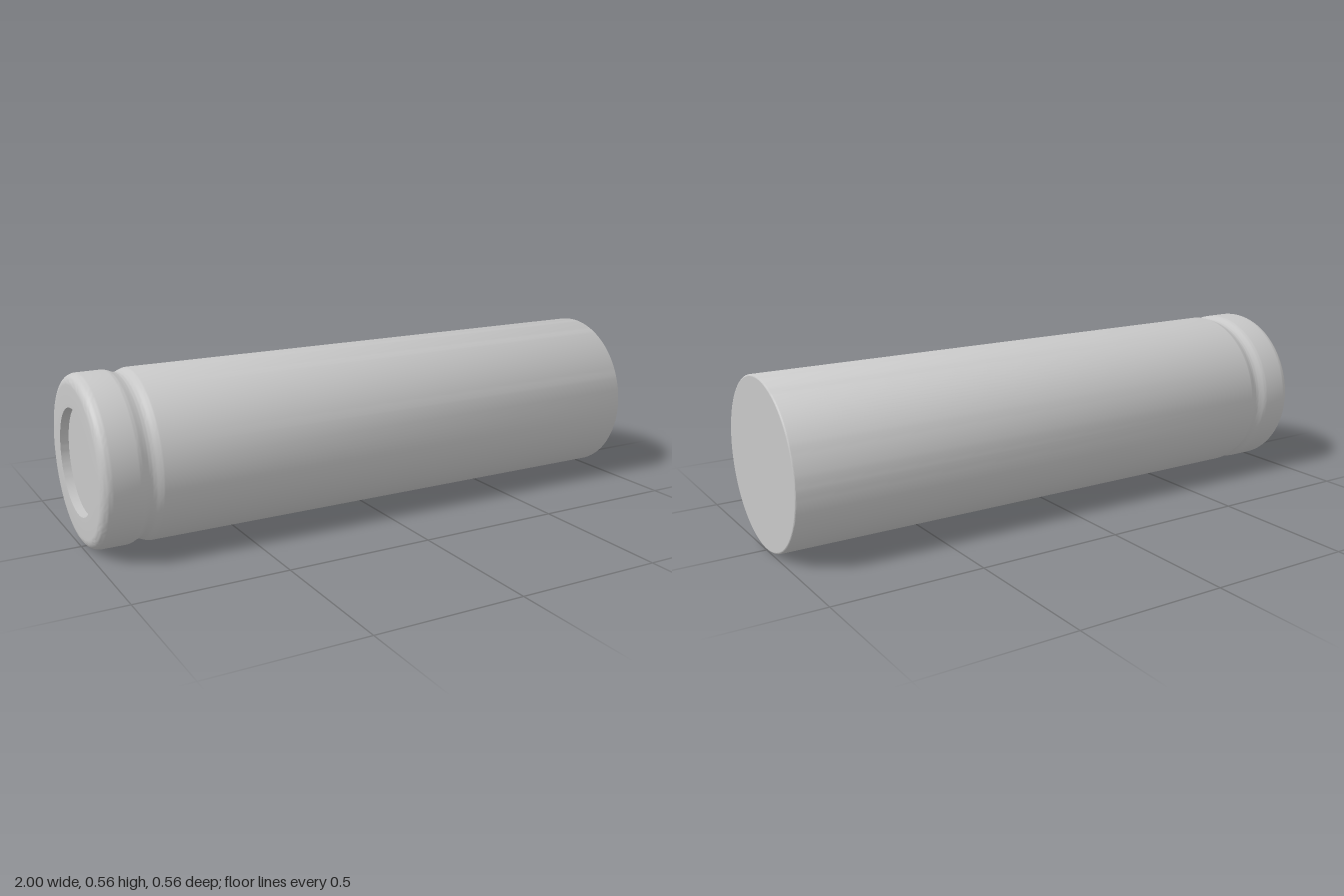
import * as THREE from 'three';
import { toCreasedNormals } from 'three/addons/utils/BufferGeometryUtils.js';

const R = 0.282; // can radius
const metal = new THREE.MeshStandardMaterial({ color: 0xc8c8c8 });
metal.name = 'plain metal';

// Revolves [radius, x] points, listed from -x to +x, around the long axis
function turned(name, points) {
  const profile = points.map(([r, x]) => new THREE.Vector2(r, x));
  const geometry = toCreasedNormals(new THREE.LatheGeometry(profile, 128), 0.6);
  geometry.rotateZ(-Math.PI / 2);
  const mesh = new THREE.Mesh(geometry, metal);
  mesh.name = name;
  return mesh;
}

// Quarter-round points about (r, x)
function fillet(r, x, radius, from, to, steps = 8) {
  return Array.from({ length: steps + 1 }, (_, i) => {
    const a = from + (to - from) * i / steps;
    return [r + radius * Math.cos(a), x + radius * Math.sin(a)];
  });
}

export function createModel() {
  const cell = new THREE.Group();
  cell.name = 'cylindricalCell';
  const hole = 0.175, floor = -0.972;

  // Recessed terminal and the wall around it
  cell.add(turned('terminal', [[0, floor], [hole, floor]]));
  cell.add(turned('recessWall', [[hole, floor], [hole, -1]]));

  // Rounded crimp, rolled groove and long can
  const groove = Array.from({ length: 17 }, (_, i) => {
    const t = i / 16;
    return [R - 0.012 * Math.sin(Math.PI * t) ** 2, -0.885 + 0.085 * t];
  });
  cell.add(turned('can', [
    [hole, -1],
    ...fillet(R - 0.035, -0.965, 0.035, -Math.PI / 2, 0),
    ...groove,
    ...fillet(R - 0.006, 0.994, 0.006, 0, Math.PI / 2, 4),
  ]));

  // Flat closed end
  cell.add(turned('base', [[R - 0.006, 1], [0, 1]]));

  cell.position.y = R;
  const model = new THREE.Group();
  model.add(cell);
  return model;
}
